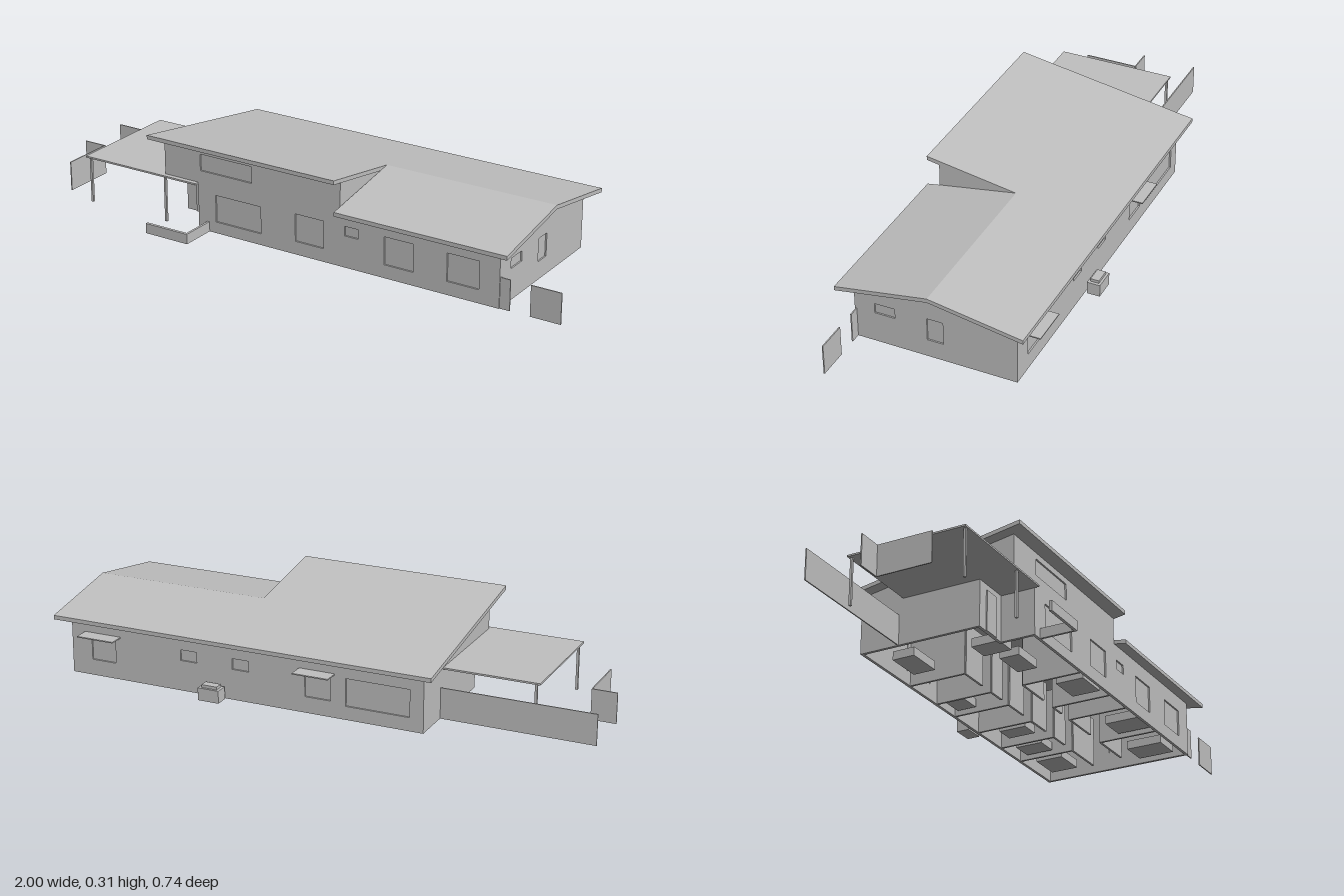
import * as THREE from 'three';

const grey = new THREE.MeshStandardMaterial({ color: 0xc0c0c0 });
grey.name = 'plain grey';

const T = 0.01; // wall thickness
const SLOPE = 0.1646;
const mainTop = (z) => 0.31 - (0.283 - z) * SLOPE;            // long single pitch
const lowTop = (z) => (z > -0.037 ? 0.203 + (0.283 - z) * 0.167 : mainTop(z)); // front gable pitch
const ROOF = 0.014;

function add(parent, name, geometry, x = 0, y = 0, z = 0) {
  const mesh = new THREE.Mesh(geometry, grey);
  mesh.name = name;
  mesh.position.set(x, y, z);
  parent.add(mesh);
  return mesh;
}

// Box given by its extents
function block(parent, name, x0, x1, y0, y1, z0, z1) {
  return add(parent, name, new THREE.BoxGeometry(x1 - x0, y1 - y0, z1 - z0),
    (x0 + x1) / 2, (y0 + y1) / 2, (z0 + z1) / 2);
}

// Outline extruded by depth, with rectangular openings [a0, a1, b0, b1]
function sheet(points, depth, openings = []) {
  const shape = new THREE.Shape(points.map(([a, b]) => new THREE.Vector2(a, b)));
  for (const [a0, a1, b0, b1] of openings) {
    shape.holes.push(new THREE.Path([[a0, b0], [a0, b1], [a1, b1], [a1, b0]]
      .map(([a, b]) => new THREE.Vector2(a, b))));
  }
  return new THREE.ExtrudeGeometry(shape, { depth, bevelEnabled: false });
}

// Wall facing front or back, with recessed panes in its openings
function longWall(parent, name, points, zBack, openings, paneZ) {
  add(parent, name, sheet(points, T, openings), 0, 0, zBack);
  for (const [x0, x1, y0, y1] of openings) {
    block(parent, 'windowPane', x0, x1, y0, y1, paneZ - 0.0015, paneZ + 0.0015);
  }
}

// Profile in (z, y), extruded from x0 to x1
function crossPiece(parent, name, points, x0, x1, openings = []) {
  const g = sheet(points, x1 - x0, openings);
  g.rotateY(-Math.PI / 2);
  return add(parent, name, g, x1, 0, 0);
}

// Sloping roof slab following a height rule through the given z stations
function roofSlab(parent, name, stations, top, x0, x1) {
  const upper = stations.map((z) => [z, top(z)]);
  const lower = stations.map((z) => [z, top(z) - ROOF]).reverse();
  crossPiece(parent, name, [...upper, ...lower], x0, x1);
}

export function createModel() {
  const house = new THREE.Group();
  house.name = 'house';

  // Roofs
  const roof = new THREE.Group();
  roof.name = 'roof';
  house.add(roof);
  roofSlab(roof, 'mainRoof', [-0.355, 0.283], mainTop, -0.52, 0.215);
  roofSlab(roof, 'gableRoof', [-0.355, -0.037, 0.283], lowTop, 0.215, 0.835);

  // Outer walls
  const walls = new THREE.Group();
  walls.name = 'outerWalls';
  house.add(walls);
  const L = -0.48, R = 0.79, F = 0.24, B = -0.315, PORCH = -0.345, STEP = 0.212;
  const high = mainTop(F) - ROOF, low = lowTop(F) - ROOF, rear = mainTop(B) - ROOF;
  longWall(walls, 'frontWall', [
    [L, 0.165], [PORCH, 0.165], [PORCH, 0], [R, 0], [R, low], [STEP, low], [STEP, high], [L, high],
  ], F - T, [
    [-0.275, -0.095, 0.04, 0.135], [0.04, 0.148, 0.046, 0.142], [0.228, 0.28, 0.11, 0.143],
    [0.376, 0.483, 0.046, 0.142], [0.604, 0.718, 0.046, 0.142],
    [-0.335, -0.13, 0.21, 0.268],
  ], F - 0.007);
  longWall(walls, 'backWall', [[L, 0], [R, 0], [R, rear], [L, rear]], B, [
    [-0.433, -0.213, 0.046, 0.14], [-0.16, -0.07, 0.055, 0.142], [0.13, 0.19, 0.105, 0.142],
    [0.32, 0.38, 0.105, 0.142], [0.625, 0.715, 0.055, 0.142],
  ], B + 0.007);

  const sideOpenings = [[0.1, 0.17, 0.108, 0.143], [-0.065, -0.01, 0.063, 0.143]];
  crossPiece(walls, 'rightWall',
    [[B, 0], [F, 0], [F, low], [-0.037, lowTop(-0.037) - ROOF], [B, rear]], R - T, R, sideOpenings);
  for (const [z0, z1, y0, y1] of sideOpenings) {
    block(walls, 'windowPane', R - 0.008, R - 0.005, y0, y1, z0, z1);
  }
  const recess = 0.12;
  crossPiece(walls, 'leftWall',
    [[B, 0], [recess, 0], [recess, 0.165], [F, 0.165], [F, high], [B, rear]], L, L + T);
  crossPiece(walls, 'upperStepWall',
    [[-0.037, lowTop(-0.037) - ROOF], [F, low], [F, high]], STEP - T, STEP);

  // Recessed porch
  block(walls, 'porchBackWall', L, PORCH, 0, 0.165, recess - T, recess);
  block(walls, 'porchSideWall', PORCH, PORCH + T, 0, 0.165, recess - T, F - T);
  block(walls, 'frontDoor', -0.44, -0.38, 0, 0.14, recess, recess + 0.004);

  // Carport canopy and posts
  const carport = new THREE.Group();
  carport.name = 'carport';
  house.add(carport);
  block(carport, 'carportRoof', -0.805, L, 0.161, 0.167, -0.16, 0.257);
  block(carport, 'porchCanopy', L, PORCH, 0.161, 0.167, recess, 0.257);
  for (const [x, z] of [[-0.79, 0.247], [-0.475, 0.247], [-0.79, -0.152]]) {
    block(carport, 'carportPost', x - 0.004, x + 0.004, 0, 0.161, z - 0.004, z + 0.004);
  }

  // Fences
  const fences = new THREE.Group();
  fences.name = 'fences';
  house.add(fences);
  const H = 0.105;
  block(fences, 'rearFence', -1, L, 0, H, -0.177, -0.173);
  block(fences, 'cornerFence', -1, -0.915, 0, H, 0.018, 0.022);
  block(fences, 'cornerFenceReturn', -0.917, -0.913, 0, H, 0.022, 0.21);
  block(fences, 'gateFence', 0.895, 1, 0, H, 0.233, 0.237);
  block(fences, 'gateStub', R, 0.825, 0, H, 0.233, 0.237);

  // Low planter wall by the porch
  block(house, 'planterFront', -0.47, -0.302, 0, 0.035, 0.357, 0.367);
  block(house, 'planterSide', -0.31, -0.302, 0, 0.035, F, 0.357);

  // Rear awnings and outdoor unit
  for (const [x0, x1] of [[-0.175, -0.05], [0.605, 0.74]]) {
    block(house, 'awning', x0, x1, 0.146, 0.15, -0.368, B);
  }
  block(house, 'outdoorUnit', 0.215, 0.29, 0, 0.043, -0.367, -0.322);
  block(house, 'outdoorUnitCap', 0.225, 0.28, 0.043, 0.053, -0.359, -0.33);

  // Room partitions, with door gaps along the corridor
  const rooms = new THREE.Group();
  rooms.name = 'rooms';
  house.add(rooms);
  const top = 0.18, p = 0.004;
  for (const x of [-0.02, 0.19, 0.31, 0.54]) {
    block(rooms, 'frontPartition', x - p, x + p, 0, top, 0.02, F - T);
  }
  for (const x of [-0.19, -0.02, 0.1, 0.26, 0.42, 0.56]) {
    block(rooms, 'backPartition', x - p, x + p, 0, top, B + T, -0.1);
  }
  for (const [x0, x1] of [[-0.02, 0.12], [0.19, 0.25], [0.31, 0.46], [0.54, 0.7]]) {
    block(rooms, 'corridorFrontWall', x0, x1, 0, top, 0.02 - p, 0.02 + p);
  }
  for (const [x0, x1] of [[-0.19, -0.08], [-0.02, 0.05], [0.1, 0.2], [0.26, 0.36], [0.42, 0.5], [0.56, 0.72]]) {
    block(rooms, 'corridorBackWall', x0, x1, 0, top, -0.1 - p, -0.1 + p);
  }

  // Simple furniture
  for (const [x, z, w, d] of [
    [0.71, 0.13, 0.1, 0.13], [0.47, 0.16, 0.1, 0.12], [0.1, 0.16, 0.12, 0.1], [-0.16, 0.08, 0.12, 0.07],
    [-0.3, 0.06, 0.08, 0.1], [-0.31, -0.22, 0.13, 0.08], [0.04, -0.25, 0.08, 0.07], [0.34, -0.2, 0.07, 0.1],
    [0.5, -0.22, 0.08, 0.1], [0.67, -0.22, 0.12, 0.1],
  ]) {
    block(rooms, 'furniture', x - w / 2, x + w / 2, 0.01, 0.04, z - d / 2, z + d / 2);
  }
  return house;
}
